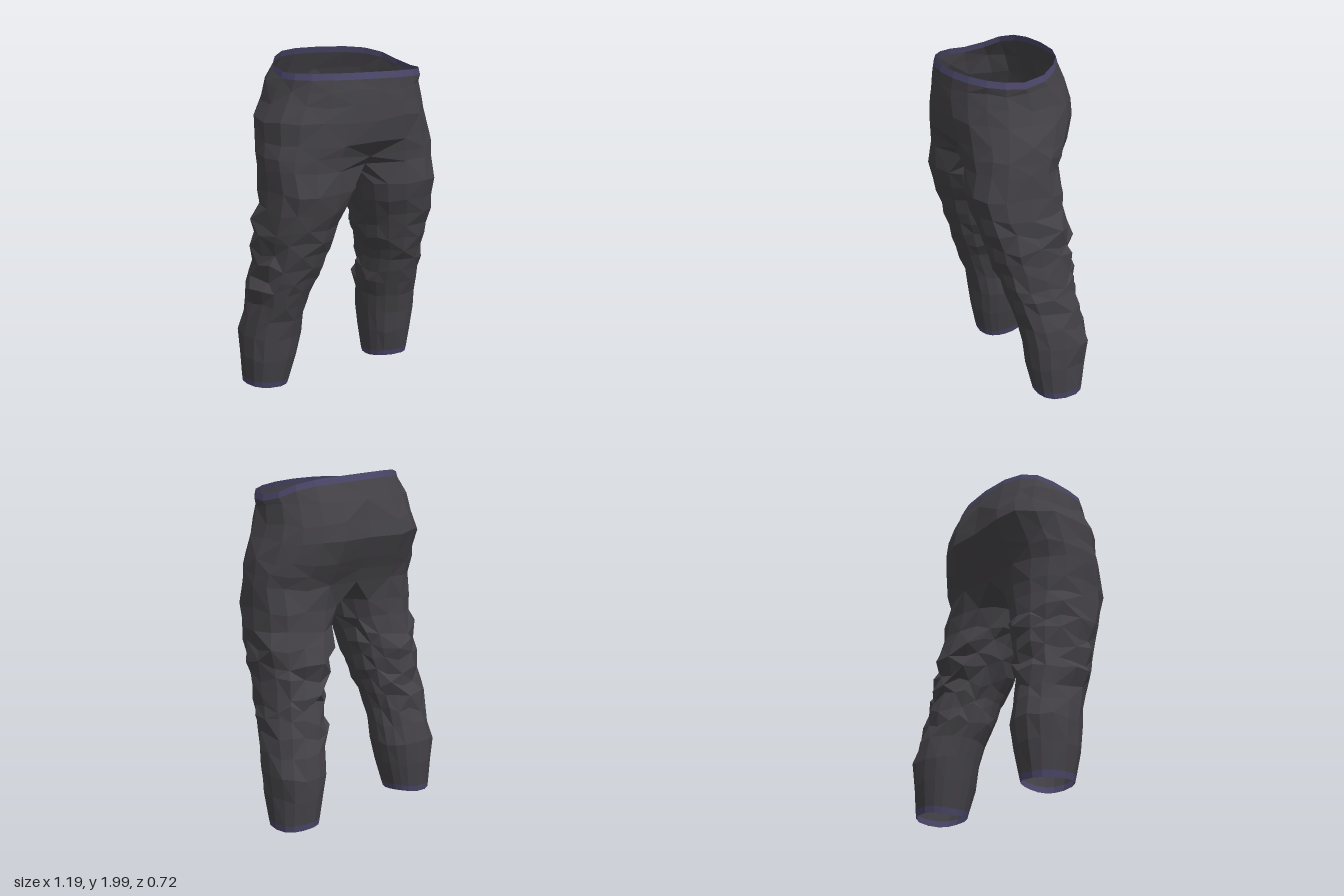
import * as THREE from 'three';

const cloth = new THREE.MeshStandardMaterial({ color: 0x444247, side: THREE.DoubleSide });
cloth.name = 'charcoal cloth';
const trim = new THREE.MeshStandardMaterial({ color: 0x4a4668, side: THREE.DoubleSide });
trim.name = 'violet trim';

const OUT = 11; // points from front seam round the outside to the back seam
const IN = 5;   // points along the inner leg

// hips: y, outer x left, outer x right, back z, front z
const HIPS = [
  [1.82, 0.453, 0.457, -0.31, 0.355],
  [1.74, 0.465, 0.475, -0.355, 0.36],
  [1.65, 0.487, 0.525, -0.37, 0.365],
  [1.53, 0.525, 0.535, -0.32, 0.345],
  [1.46, 0.54, 0.55, -0.285, 0.335],
  [1.38, 0.543, 0.55, -0.255, 0.327],
];
// legs: y, inner and outer x left, inner and outer x right, back z, front z
const LEGS = [
  [1.25, 0.02, 0.545, 0.01, 0.545, -0.235, 0.313],
  [1.14, 0.05, 0.545, 0.045, 0.54, -0.235, 0.285],
  [1.04, 0.085, 0.56, 0.09, 0.55, -0.265, 0.25],
  [0.96, 0.11, 0.56, 0.115, 0.555, -0.275, 0.225],
  [0.88, 0.13, 0.548, 0.135, 0.55, -0.27, 0.2],
  [0.80, 0.175, 0.55, 0.16, 0.555, -0.28, 0.17],
  [0.72, 0.195, 0.555, 0.18, 0.56, -0.285, 0.14],
  [0.64, 0.20, 0.565, 0.21, 0.585, -0.30, 0.11],
  [0.56, 0.20, 0.57, 0.23, 0.565, -0.315, 0.08],
  [0.46, 0.235, 0.585, 0.24, 0.58, -0.335, 0.045],
  [0.34, 0.25, 0.595, 0.24, 0.60, -0.362, 0.02],
  [0.20, 0.27, 0.583, 0.27, 0.595, -0.353, 0],
  [0.055, 0.293, 0.573, 0.31, 0.58, -0.335, -0.035],
  [0.018, 0.30, 0.568, 0.32, 0.576, -0.33, -0.045],
];

function seeded(seed) {
  return () => {
    seed = (seed * 16807) % 2147483647;
    return (seed / 2147483647) * 2 - 1;
  };
}

// point on a rounded box outline
function outline(deg, power) {
  const a = THREE.MathUtils.degToRad(deg);
  const f = (v) => Math.sign(v) * Math.pow(Math.abs(v), 2 / power);
  return [Math.abs(deg) === 90 ? 0 : f(Math.cos(a)), f(Math.sin(a))];
}

// faceted skin between successive rows of points
function skin(name, rows, closed, side, material) {
  const pos = [];
  for (let r = 0; r < rows.length - 1; r++) {
    const n = rows[r].length;
    for (let i = 0; i < (closed ? n : n - 1); i++) {
      const j = (i + 1) % n;
      const [a, b, c, d] = [rows[r][i], rows[r + 1][i], rows[r + 1][j], rows[r][j]];
      const tris = (r + i) % 2 ? [[a, b, c], [a, c, d]] : [[a, b, d], [b, c, d]];
      for (const t of tris) for (const p of side > 0 ? t : [t[0], t[2], t[1]]) pos.push(...p);
    }
  }
  const geo = new THREE.BufferGeometry();
  geo.setAttribute('position', new THREE.Float32BufferAttribute(pos, 3));
  geo.computeVertexNormals();
  const mesh = new THREE.Mesh(geo, material);
  mesh.name = name;
  return mesh;
}

// half of the waist opening, higher at the back and lowest at the hips
function waistRow(side, drop) {
  return Array.from({ length: OUT }, (_, i) => {
    const [c, s] = outline(90 - 18 * i, i > 5 ? 2.5 : 2.12);
    const x = side * c * ((side > 0 ? 0.45 : 0.43) + drop * 0.2);
    const z = 0.04 + s * (0.3 + drop * 0.3);
    const rise = 0.08 * THREE.MathUtils.smoothstep(-z, -0.02, 0.25);
    return [x, 1.916 + rise - 0.03 * x - 0.015 * c * c - drop, z];
  });
}

function hipRows(side, rand) {
  const seat = side > 0 ? 2.5 : 2.8;
  return HIPS.map(([y, xl, xr, zb, zf], r) =>
    Array.from({ length: OUT }, (_, i) => {
      const [c, s] = outline(90 - 18 * i, i > 5 ? seat : 2.12 + r * 0.13);
      const centre = i === 0 || i === OUT - 1;
      const amp = centre ? 0 : 0.007;
      let py = y + rand() * amp * 2;
      let pz = (zf + zb) / 2 + (s * (zf - zb)) / 2 + rand() * amp;
      const px = side * (c * (side > 0 ? xl : xr)) + rand() * amp;
      if (r === 0) py += 0.04 * THREE.MathUtils.smoothstep(-pz, -0.05, 0.24);
      // fold across the lap, tucked in below
      if (i === 0 && r === 4) {
        py -= 0.03;
        pz -= 0.07;
      }
      if (i === 0 && r === 5) pz -= 0.11;
      if (i === 1 && r > 3) pz -= 0.012;
      // cleft between the seat halves
      if (i === OUT - 1 && r > 0) pz += 0.03;
      return [px, py, pz];
    }));
}

function legRows(side, rand) {
  return LEGS.map(([y, il, ol, ir, or, zb, zf], r) => {
    const [xi, xo] = side > 0 ? [il, ol] : [ir, or];
    const hem = r >= LEGS.length - 2;
    const crumple = hem ? 0 : y > 0.5 && y < 1.1 ? 0.011 : 0.005;
    return Array.from({ length: OUT + IN }, (_, i) => {
      const deg = i < OUT ? 125 - 25 * i : -125 - (110 / (IN + 1)) * (i - OUT + 1);
      // squarer outside, rounder inner thigh
      const [c, s] = outline(deg, Math.abs(deg) > 90 ? 2.1 : 2.5);
      // folds gather at the back and outside of the knee
      const back = i > 3 && i < 13 ? 1 : 0.4;
      const push = 1 + (crumple * back * (((r + (i >> 1)) % 2 ? 0.7 : -0.7) + rand())) / 0.2;
      return [
        side * ((xi + xo) / 2 + (c * push * (xo - xi)) / 2),
        y + (hem ? 0.008 * Math.sin(i * 0.8 + side) : rand() * crumple * 3 * back),
        (zf + zb) / 2 + (s * push * (zf - zb)) / 2,
      ];
    });
  });
}

export function createModel() {
  const model = new THREE.Group();
  model.name = 'trousers';
  for (const side of [1, -1]) {
    const label = side > 0 ? 'left' : 'right';
    const rand = seeded(side > 0 ? 4217 : 9931);
    const waist = [waistRow(side, 0), waistRow(side, 0.036)];
    const hips = hipRows(side, rand);
    const legs = legRows(side, rand);

    // crotch seam, dipping from the back to the front
    const last = hips[hips.length - 1];
    const [front, back] = [last[0], last[OUT - 1]];
    const seam = Array.from({ length: IN }, (_, k) => {
      const t = (k + 1) / (IN + 1);
      return [0, front[1] - 0.09 * Math.sin(Math.PI * t), THREE.MathUtils.lerp(back[2], front[2], t)];
    });

    model.add(
      skin(label + 'Waistband', waist, false, side, trim),
      skin(label + 'Hip', [waist[1], ...hips], false, side, cloth),
      skin(label + 'Leg', [[...last, ...seam], ...legs.slice(0, -1)], true, side, cloth),
      skin(label + 'Hem', legs.slice(-2), true, side, trim),
    );
  }
  return model;
}
